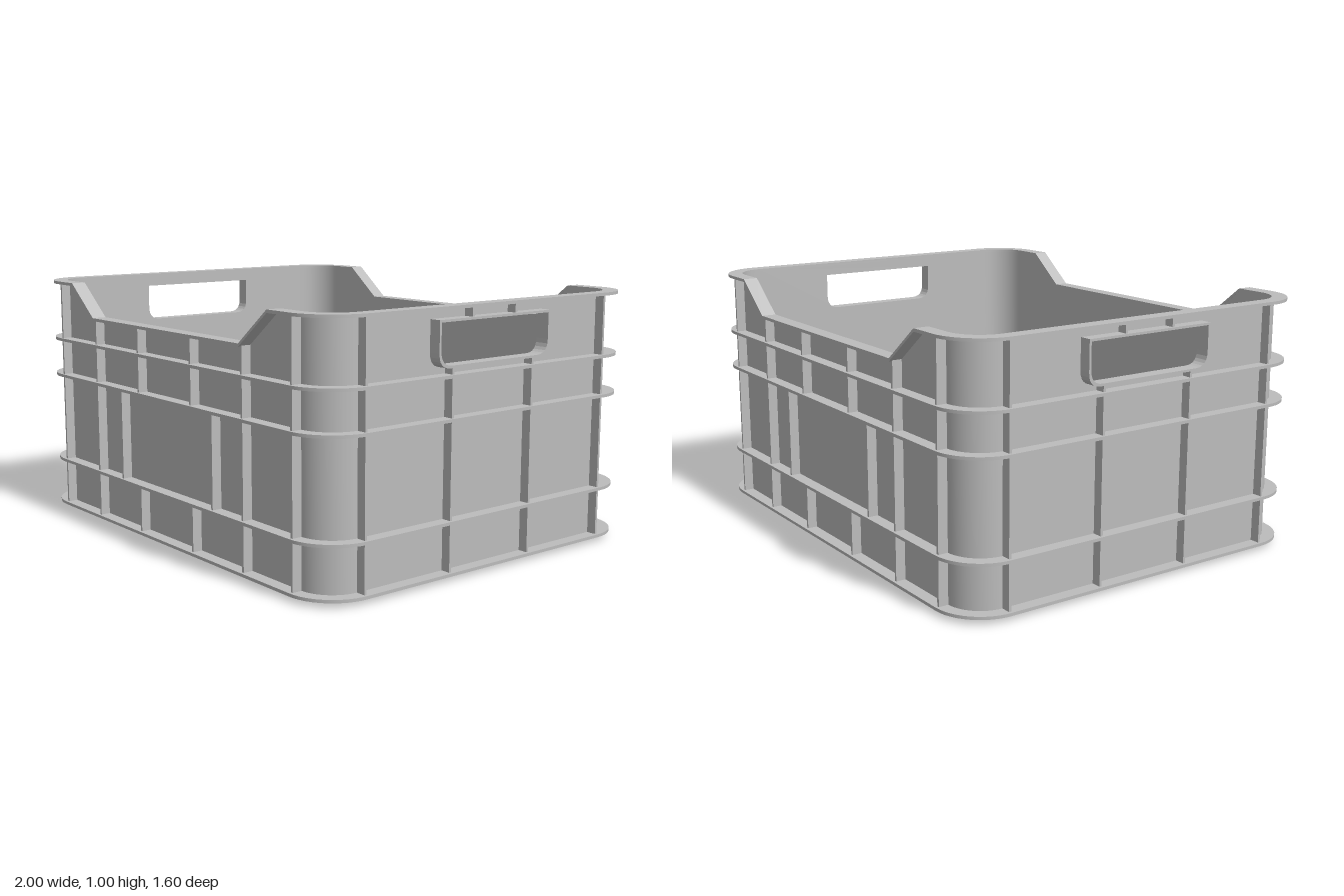
import * as THREE from 'three';
import { toCreasedNormals } from 'three/addons/utils/BufferGeometryUtils.js';

const CX = 0.81, CZ = 0.61;          // centres of the rounded corners
const R_IN = 0.132, R_WALL = 0.14, R_LIP = 0.19;
const TOP = 1, DIP = 0.867;          // rim height at the ends and in the middle of the long sides

// Rim height along the long sides
function rimHeight(x) {
  const t = THREE.MathUtils.clamp((Math.abs(x) - 0.52) / 0.17, 0, 1);
  return DIP + (TOP - DIP) * t;
}

// Points of one corner: base position plus outward normal
function cornerPoints(q, n = 12) {
  const sx = q === 0 || q === 3 ? 1 : -1, sz = q < 2 ? 1 : -1;
  return Array.from({ length: n + 1 }, (_, i) => {
    const a = (q + i / n) * Math.PI / 2;
    return { x: sx * CX, z: sz * CZ, nx: Math.cos(a), nz: Math.sin(a) };
  });
}

// Whole outline, with break points where the rim dips
function outline() {
  const long = (s) => [0.69, 0.52, -0.52, -0.69].map((x) => ({ x: s * x, z: s * CZ, nx: 0, nz: s }));
  return [...cornerPoints(0), ...long(1), ...cornerPoints(1),
    ...cornerPoints(2), ...long(-1), ...cornerPoints(3)];
}

// Sweep a rectangular section along outline points
function sweep(points, rIn, rOut, bottom, top, closed) {
  const pos = [];
  const section = (p) => [[rIn, bottom], [rOut, bottom], [rOut, top], [rIn, top]]
    .map(([r, y]) => [p.x + p.nx * r, y(p.x), p.z + p.nz * r]);
  const count = closed ? points.length : points.length - 1;
  for (let i = 0; i < count; i++) {
    const s = section(points[i]), e = section(points[(i + 1) % points.length]);
    for (let k = 0; k < 4; k++) {
      const m = (k + 1) % 4;
      pos.push(...s[k], ...s[m], ...e[m], ...s[k], ...e[m], ...e[k]);
    }
  }
  const g = new THREE.BufferGeometry();
  g.setAttribute('position', new THREE.Float32BufferAttribute(pos, 3));
  return toCreasedNormals(g, 0.5);
}

// Handle opening, grown by d, with rounded lower corners
function handleOutline(Type, d = 0) {
  const w = 0.275 + d, lo = 0.79 - d, hi = 0.945 + d, r = 0.055;
  const s = new Type();
  s.moveTo(-w, hi);
  s.lineTo(-w, lo + r);
  s.quadraticCurveTo(-w, lo, -w + r, lo);
  s.lineTo(w - r, lo);
  s.quadraticCurveTo(w, lo, w, lo + r);
  s.lineTo(w, hi);
  s.closePath();
  return s;
}

export function createModel() {
  const crate = new THREE.Group();
  crate.name = 'crate';
  const plastic = new THREE.MeshStandardMaterial({ color: 0xbcbcbc });
  plastic.name = 'grey plastic';

  const add = (parent, name, geometry) => {
    const mesh = new THREE.Mesh(geometry, plastic);
    mesh.name = name;
    parent.add(mesh);
    return mesh;
  };
  const extrude = (shape, depth) =>
    new THREE.ExtrudeGeometry(shape, { depth, bevelEnabled: false, curveSegments: 6 });

  // Floor
  const loop = outline();
  const floorShape = new THREE.Shape(
    loop.map((p) => new THREE.Vector2(p.x + p.nx * 0.135, p.z + p.nz * 0.135)));
  const floor = extrude(floorShape, 0.02);
  floor.rotateX(Math.PI / 2).translate(0, 0.02, 0);
  add(crate, 'floor', floor);

  // Rounded corner walls
  for (let q = 0; q < 4; q++) {
    add(crate, 'cornerWall', sweep(cornerPoints(q), R_IN, R_WALL, () => 0.015, () => 0.995, false));
  }

  // Horizontal ribs and the dipping top rim
  for (const y of [0.025, 0.218, 0.593, 0.75]) {
    add(crate, 'horizontalRib', sweep(loop, 0.136, R_LIP, () => y - 0.006, () => y + 0.006, true));
  }
  add(crate, 'topRim', sweep(loop, R_IN - 0.002, R_LIP, (x) => rimHeight(x) - 0.012, rimHeight, true));

  // Upright rib on a wall whose outer face lies at distance d
  const upright = (side, u, y0, y1, d) => {
    const rib = add(side, 'uprightRib', new THREE.BoxGeometry(0.01, y1 - y0, 0.044));
    rib.position.set(u, (y0 + y1) / 2, d + 0.017);
  };

  // Long walls, front and back
  for (const turn of [0, Math.PI]) {
    const side = new THREE.Group();
    side.name = turn ? 'backSide' : 'frontSide';
    side.rotation.y = turn;
    crate.add(side);
    const d = CZ + R_WALL;
    const shape = new THREE.Shape();
    shape.moveTo(-CX, 0.015);
    shape.lineTo(CX, 0.015);
    for (const x of [CX, 0.69, 0.52, -0.52, -0.69, -CX]) shape.lineTo(x, rimHeight(x) - 0.005);
    add(side, 'longWall', extrude(shape, R_WALL - R_IN)).position.z = CZ + R_IN;
    for (const s of [-1, 1]) {
      upright(side, s * 0.81, 0.025, 0.992, d);
      upright(side, s * 0.52, 0.025, 0.862, d);
      upright(side, s * 0.188, 0.025, 0.218, d);
      upright(side, s * 0.188, 0.593, 0.862, d);
      upright(side, s * 0.325, 0.218, 0.593, d);
    }
  }

  // Short walls with handle openings
  for (const s of [1, -1]) {
    const side = new THREE.Group();
    side.name = s > 0 ? 'leftSide' : 'rightSide';
    side.rotation.y = s * Math.PI / 2;
    crate.add(side);
    const d = CX + R_WALL;
    const shape = new THREE.Shape();
    shape.moveTo(-CZ, 0.015);
    shape.lineTo(CZ, 0.015);
    shape.lineTo(CZ, 0.995);
    shape.lineTo(-CZ, 0.995);
    shape.holes.push(handleOutline(THREE.Path));
    add(side, 'shortWall', extrude(shape, R_WALL - R_IN)).position.z = CX + R_IN;

    // Collar around the handle opening
    const collar = handleOutline(THREE.Shape, 0.009);
    collar.holes.push(handleOutline(THREE.Path));
    add(side, 'handleCollar', extrude(collar, 0.05)).position.z = d - 0.002;

    for (const m of [-1, 1]) {
      upright(side, m * 0.608, 0.025, 0.992, d);
      upright(side, m * 0.205, 0.025, 0.785, d);
      upright(side, m * 0.11, 0.95, 0.992, d);
    }
  }
  return crate;
}
